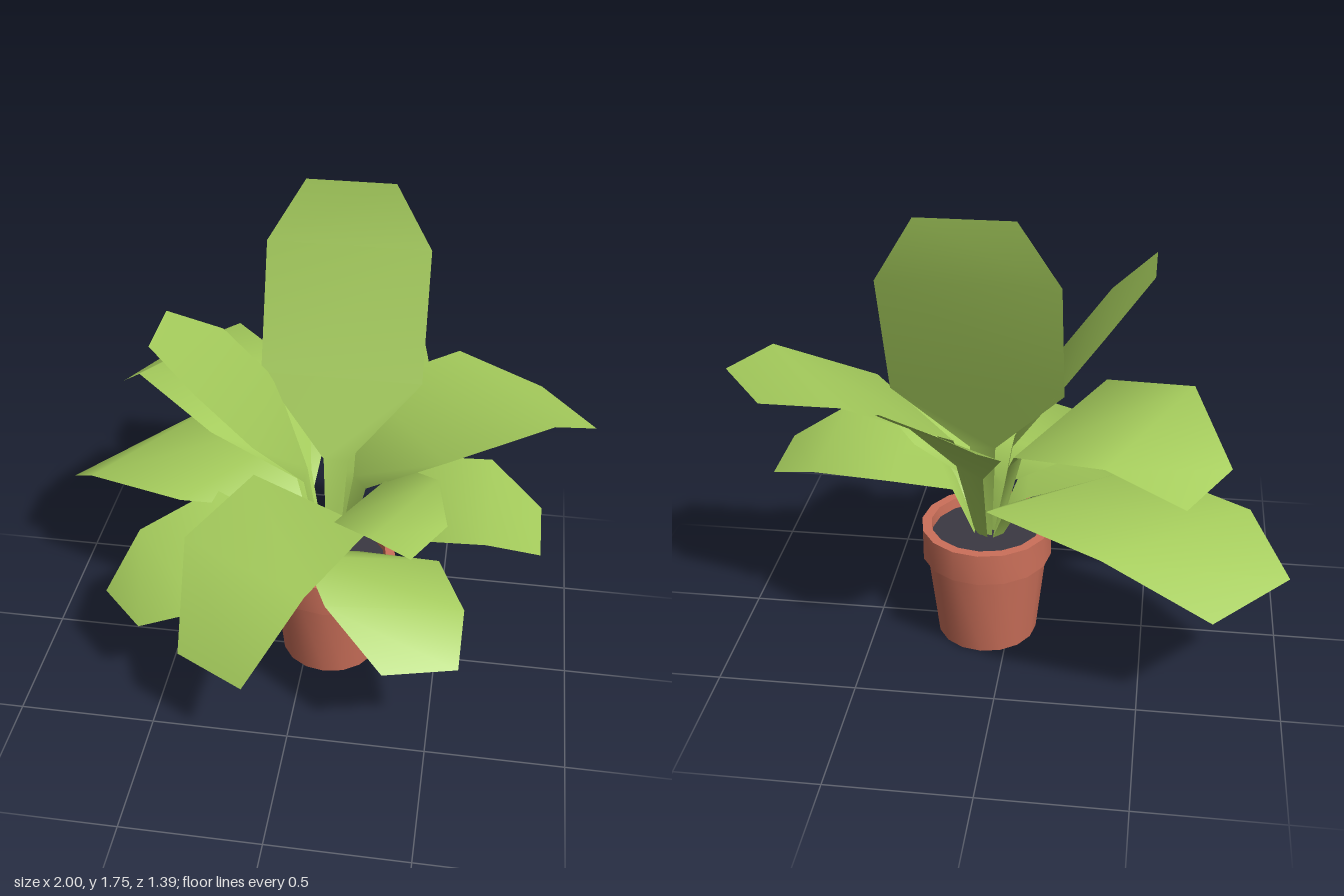
import * as THREE from 'three';
import { toCreasedNormals } from 'three/addons/utils/BufferGeometryUtils.js';

const CENTER = new THREE.Vector3(0.085, 0.39, -0.045);

// Each leaf: half-width of the blade in x and z (tilt = its rise in y),
// then the midrib at the blade's base, shoulder and tip
const LEAVES = [
  { name: 'tallBackLeaf', side: [0.295, 0], rib: [[0.085, 1.08, -0.25], [0.085, 1.53, -0.415], [0.085, 1.755, -0.455]] },
  { name: 'tallRightLeaf', side: [0, 0.23], rib: [[-0.16, 1.05, -0.03], [-0.335, 1.275, 0.025], [-0.49, 1.43, 0.1]] },
  { name: 'highLeftLeaf', side: [0.177, 0.236], rib: [[0.32, 0.97, -0.16], [0.677, 1.105, -0.235], [0.905, 1.047, -0.23]] },
  { name: 'highBackRightLeaf', side: [-0.135, 0.26], tilt: 0.025, rib: [[-0.2, 0.98, -0.2], [-0.505, 1.07, -0.405], [-0.7, 0.915, -0.52]] },
  { name: 'largeBackRightLeaf', side: [-0.245, 0.272], tilt: -0.05, rib: [[-0.225, 0.725, -0.24], [-0.615, 0.675, -0.41], [-0.867, 0.475, -0.48]] },
  { name: 'lowRightLeaf', side: [0.155, 0.163], tilt: -0.038, rib: [[-0.2, 0.635, 0.1], [-0.455, 0.54, 0.27], [-0.635, 0.38, 0.325]] },
  { name: 'frontLeaf', side: [0.232, 0.13], rib: [[0.02, 0.745, 0.06], [-0.16, 0.708, 0.42], [-0.247, 0.405, 0.628]] },
  { name: 'lowFrontLeftLeaf', side: [0.235, -0.06], tilt: -0.03, rib: [[0.26, 0.62, 0.2], [0.365, 0.58, 0.41], [0.47, 0.445, 0.57]] },
  { name: 'smallFrontLeftLeaf', side: [0.1, -0.185], rib: [[0.23, 0.8, 0.06], [0.37, 0.86, 0.21], [0.465, 0.82, 0.337]] },
  { name: 'leftLeaf', side: [0, 0.262], rib: [[0.38, 0.74, -0.03], [0.655, 0.755, -0.025], [0.847, 0.66, 0.002]] },
  { name: 'smallBackLeaf', side: [0.185, 0.11], rib: [[0.17, 0.9, -0.28], [0.22, 1.04, -0.495], [0.25, 1.14, -0.628]] },
];

// A thin ribbon: narrow stalk rising from the soil, full blade, cropped level tip
function leafGeometry({ side: [sx, sz], tilt = 0, rib }) {
  const half = Math.hypot(sx, tilt, sz);
  const [base, shoulder, tip] = rib.map((p) => new THREE.Vector3(...p));
  const stalkPoint = (out, up) => {
    const p = CENTER.clone().lerp(base, out);
    p.y = THREE.MathUtils.lerp(CENTER.y, base.y, up);
    return p;
  };
  const rows = [
    { p: stalkPoint(0.12, 0), w: 0.022 / half, rise: tilt },
    { p: stalkPoint(0.4, 0.6), w: 0.045 / half, rise: tilt },
    { p: base, w: 1, rise: tilt },
    { p: shoulder, w: 1, rise: tilt },
    { p: tip, w: 0.54, rise: 0 },
  ];
  const position = [];
  const index = [];
  rows.forEach(({ p, w, rise }, i) => {
    for (const s of [-w, w]) position.push(p.x + s * sx, p.y + s * rise, p.z + s * sz);
    if (i > 0) {
      const a = (i - 1) * 2;
      index.push(a, a + 1, a + 3, a, a + 3, a + 2);
    }
  });
  const geometry = new THREE.BufferGeometry();
  geometry.setAttribute('position', new THREE.Float32BufferAttribute(position, 3));
  geometry.setIndex(index);
  geometry.computeVertexNormals();
  return geometry;
}

export function createModel() {
  const model = new THREE.Group();
  model.name = 'pottedPlant';

  const leafGreen = new THREE.MeshStandardMaterial({ color: 0xa5cc5c, side: THREE.DoubleSide });
  leafGreen.name = 'leafGreen';
  const terracotta = new THREE.MeshStandardMaterial({ color: 0xcc705a });
  terracotta.name = 'terracotta';
  const soilDark = new THREE.MeshStandardMaterial({ color: 0x3a3842 });
  soilDark.name = 'soilDark';

  // Tapered pot with a stepped rim and an open top
  const profile = [[0, 0], [0.185, 0], [0.222, 0.33], [0.24, 0.33], [0.24, 0.45], [0.205, 0.45], [0.2, 0.39]];
  const potGeometry = toCreasedNormals(
    new THREE.LatheGeometry(profile.map(([x, y]) => new THREE.Vector2(x, y)), 16), 0.7);
  const pot = new THREE.Mesh(potGeometry, terracotta);
  pot.name = 'pot';
  pot.position.set(CENTER.x, 0, CENTER.z);
  model.add(pot);

  // Soil surface
  const soil = new THREE.Mesh(new THREE.CircleGeometry(0.203, 16), soilDark);
  soil.name = 'soil';
  soil.rotation.x = -Math.PI / 2;
  soil.position.set(CENTER.x, 0.41, CENTER.z);
  model.add(soil);

  // Leaves
  const foliage = new THREE.Group();
  foliage.name = 'foliage';
  for (const leaf of LEAVES) {
    const mesh = new THREE.Mesh(leafGeometry(leaf), leafGreen);
    mesh.name = leaf.name;
    foliage.add(mesh);
  }
  model.add(foliage);

  return model;
}
